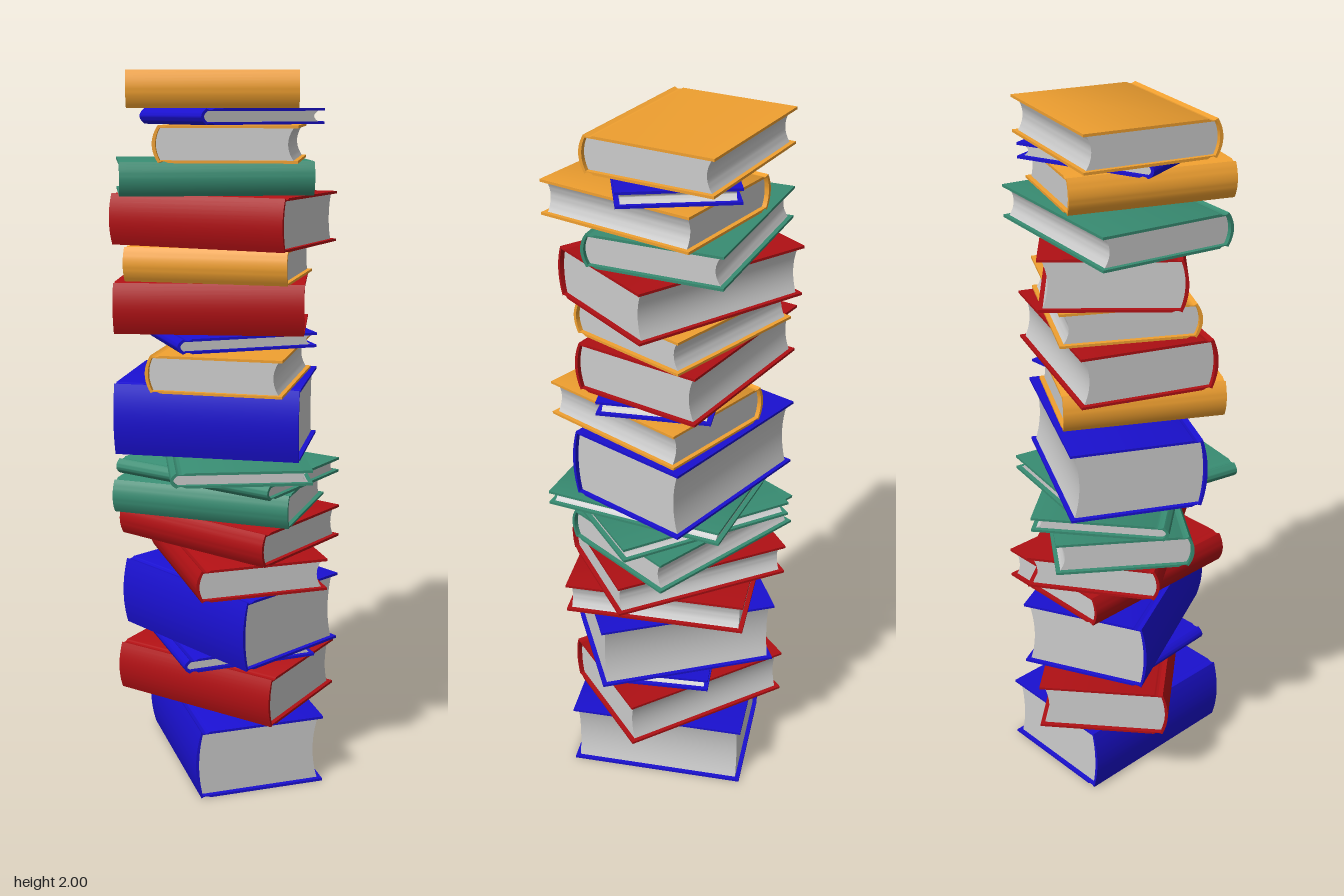
import * as THREE from 'three';
import { toCreasedNormals } from 'three/addons/utils/BufferGeometryUtils.js';

const BOARD = 0.007; // cover thickness
const BLUE = 0x1a10d0, RED = 0xb01014, GREEN = 0x388c72, YELLOW = 0xf0a030;

// Extrude a cross-section along z, centred
function extrude(shape, length) {
  const geo = new THREE.ExtrudeGeometry(shape, { depth: length, bevelEnabled: false, curveSegments: 12 });
  geo.translate(0, 0, -length / 2);
  return toCreasedNormals(geo, 0.6);
}

// Wrapped cover: two boards, hinge grooves and a rounded spine at -x
function coverShape(w, h) {
  const s = new THREE.Shape();
  s.moveTo(w, 0);
  s.lineTo(-w + 0.042, 0);
  s.quadraticCurveTo(-w + 0.029, 0.009, -w + 0.016, 0);
  s.quadraticCurveTo(-w - 0.016, h / 2, -w + 0.016, h);
  s.quadraticCurveTo(-w + 0.029, h - 0.009, -w + 0.042, h);
  s.lineTo(w, h);
  s.lineTo(w, h - BOARD);
  s.lineTo(-w + 0.02, h - BOARD);
  s.quadraticCurveTo(-w - 0.002, h / 2, -w + 0.02, BOARD);
  s.lineTo(w, BOARD);
  s.closePath();
  return s;
}

// Page block: rounded back, hollow fore-edge
function pageShape(w, h) {
  const s = new THREE.Shape();
  s.moveTo(w - 0.012, BOARD);
  s.quadraticCurveTo(w - 0.04, h / 2, w - 0.012, h - BOARD);
  s.lineTo(-w + 0.02, h - BOARD);
  s.quadraticCurveTo(-w - 0.002, h / 2, -w + 0.02, BOARD);
  s.closePath();
  return s;
}

function makeBook(width, length, height, color) {
  const book = new THREE.Group();
  const cover = new THREE.Mesh(
    extrude(coverShape(width / 2, height), length),
    new THREE.MeshStandardMaterial({ color })
  );
  cover.name = 'cover';
  const pages = new THREE.Mesh(
    extrude(pageShape(width / 2, height), length - 0.026),
    new THREE.MeshStandardMaterial({ color: 0xcccccc })
  );
  pages.name = 'pages';
  book.add(cover, pages);
  return book;
}

// Formats: width, spine length, colour
const FORMATS = {
  blue: [0.38, 0.52, BLUE],
  red: [0.38, 0.52, RED],
  green: [0.385, 0.52, GREEN],
  yellow: [0.375, 0.455, YELLOW],
  booklet: [0.40, 0.31, BLUE],
};

// Bottom to top: format, top height, turn in degrees, centre x, centre z
const STACK = [
  ['blue', 0.202, -24, 0.02, 0.02],
  ['red', 0.345, 16.5, 0.02, -0.01],
  ['booklet', 0.386, -21, 0.01, 0.025],
  ['blue', 0.588, 2, 0.015, 0.005],
  ['red', 0.68, -24, 0.02, 0.025],
  ['red', 0.775, 11, 0.025, -0.005],
  ['green', 0.87, 30, 0.01, -0.025],
  ['green', 0.913, 14.5, 0.02, -0.005],
  ['green', 0.955, -36, 0, 0.04],
  ['blue', 1.157, 38, 0.005, -0.03],
  ['yellow', 1.26, -54, -0.01, 0.045],
  ['booklet', 1.301, -23, 0.007, 0.02],
  ['red', 1.441, 44, 0, -0.04],
  ['yellow', 1.535, 35, 0.01, -0.025],
  ['red', 1.675, 23, 0.015, -0.015],
  ['green', 1.765, 54.5, -0.004, -0.047],
  ['yellow', 1.86, -47, -0.005, 0.045],
  ['booklet', 1.902, -7, 0.02, 0.01],
  ['yellow', 2.0, 48.5, 0, -0.042],
];

export function createModel() {
  const group = new THREE.Group();
  group.name = 'bookStack';
  let y = 0;
  STACK.forEach(([format, top, turn, x, z], i) => {
    const [width, length, color] = FORMATS[format];
    const book = makeBook(width, length, top - y, color);
    book.name = `${format}Book${i + 1}`;
    book.position.set(x, y, z);
    book.rotation.y = THREE.MathUtils.degToRad(turn);
    group.add(book);
    y = top;
  });
  return group;
}
